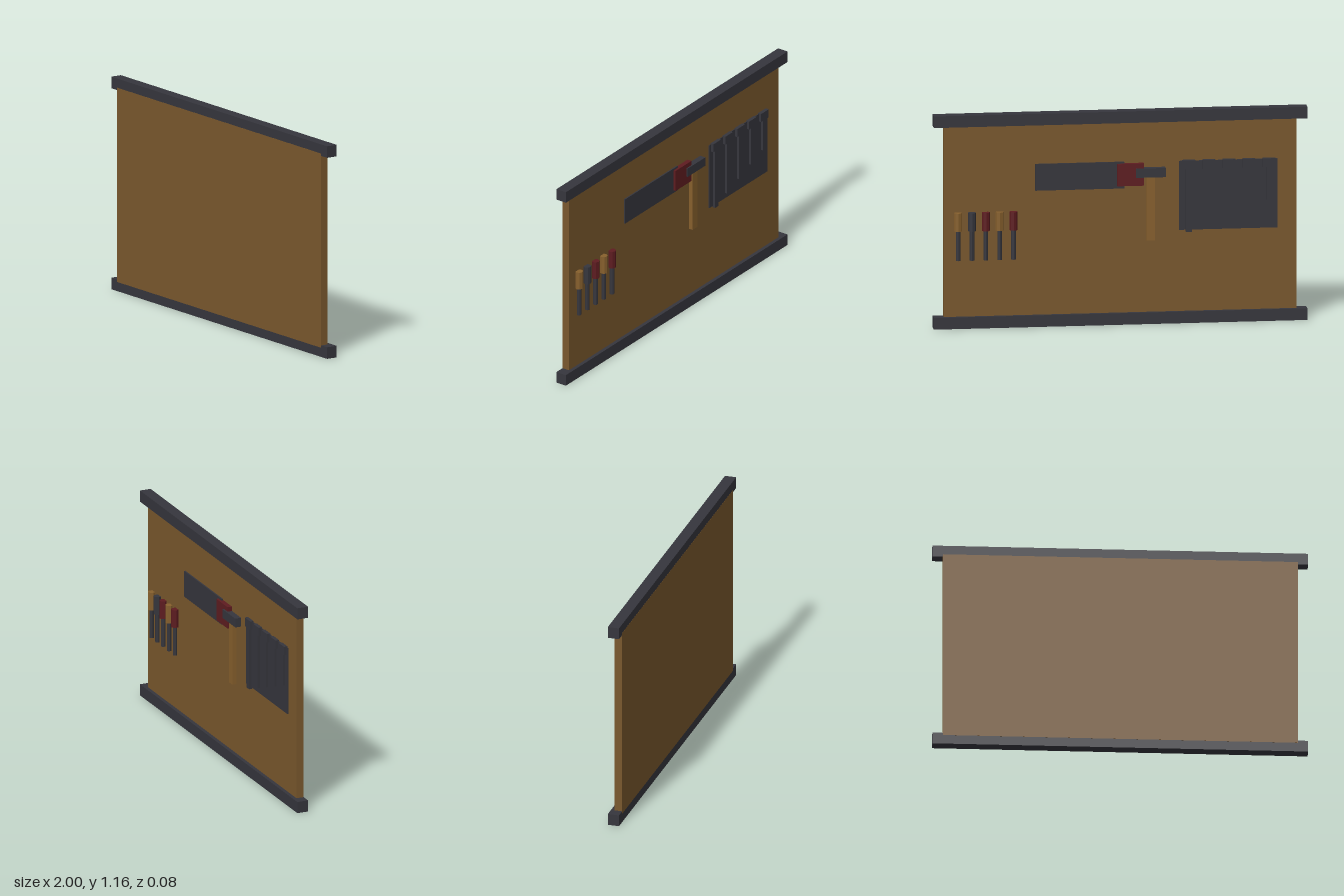
import * as THREE from 'three';

export function createModel() {
  const model = new THREE.Group();
  const mat = (name, color) => {
    const m = new THREE.MeshStandardMaterial({ color });
    m.name = name;
    return m;
  };
  const wood = mat('board wood', 0x7a582d);
  const steel = mat('dark steel', 0x36363d);
  const red = mat('red grip', 0x5e1c20);
  const tan = mat('tan handle', 0x87602d);

  // Box given by its extents on each axis
  const box = (name, material, [x0, x1], [y0, y1], [z0, z1], parent = model) => {
    const mesh = new THREE.Mesh(new THREE.BoxGeometry(x1 - x0, y1 - y0, z1 - z0), material);
    mesh.position.set((x0 + x1) / 2, (y0 + y1) / 2, (z0 + z1) / 2);
    mesh.name = name;
    parent.add(mesh);
    return mesh;
  };
  // Upright faceted rod between two heights
  const rod = (name, material, radius, x, y0, y1, z, parent) => {
    const geometry = new THREE.CylinderGeometry(radius, radius, y1 - y0, 8).toNonIndexed();
    geometry.computeVertexNormals();
    const mesh = new THREE.Mesh(geometry, material);
    mesh.position.set(x, (y0 + y1) / 2, z);
    mesh.name = name;
    parent.add(mesh);
  };
  const group = (name) => {
    const g = new THREE.Group();
    g.name = name;
    model.add(g);
    return g;
  };

  // Backboard with a rail along the top and the bottom
  box('board', wood, [-0.945, 0.945], [0.05, 1.11], [-0.004, 0.0385]);
  box('bottomRail', steel, [-1, 1], [0, 0.063], [-0.024, 0.038]);
  box('topRail', steel, [-1, 1], [1.097, 1.16], [-0.024, 0.038]);

  // Row of screwdrivers
  [tan, steel, red, tan, red].forEach((grip, i) => {
    const g = group('screwdriver' + (i + 1));
    const x = 0.87 - i * 0.0742;
    rod('screwdriverShaft', steel, 0.0125, x, 0.37, 0.535, -0.016, g);
    rod('screwdriverHandle', grip, 0.0215, x, 0.53, 0.63, -0.016, g);
  });

  // Saw
  const saw = group('saw');
  box('sawBlade', steel, [-0.02, 0.456], [0.74, 0.885], [-0.017, -0.009], saw);
  box('sawHandle', red, [-0.125, 0.018], [0.755, 0.875], [-0.03, -0.003], saw);

  // Hammer
  const hammer = group('hammer');
  box('hammerHandle', tan, [-0.182, -0.137], [0.455, 0.82], [-0.028, -0.002], hammer);
  box('hammerHead', steel, [-0.24, -0.08], [0.8, 0.85], [-0.0375, -0.001], hammer);

  // Wrenches of falling length on a backing panel
  box('wrenchPanel', steel, [-0.842, -0.315], [0.505, 0.88], [-0.009, -0.003]);
  for (let i = 0; i < 5; i++) {
    const g = group('wrench' + (i + 1));
    const x = -0.366 - i * 0.1075;
    box('wrenchShaft', steel, [x - 0.016, x + 0.016], [0.495 + i * 0.041, 0.85], [-0.022, -0.004], g);
    box('wrenchHead', steel, [x - 0.034, x + 0.034], [0.837, 0.885], [-0.024, -0.002], g);
  }
  return model;
}
